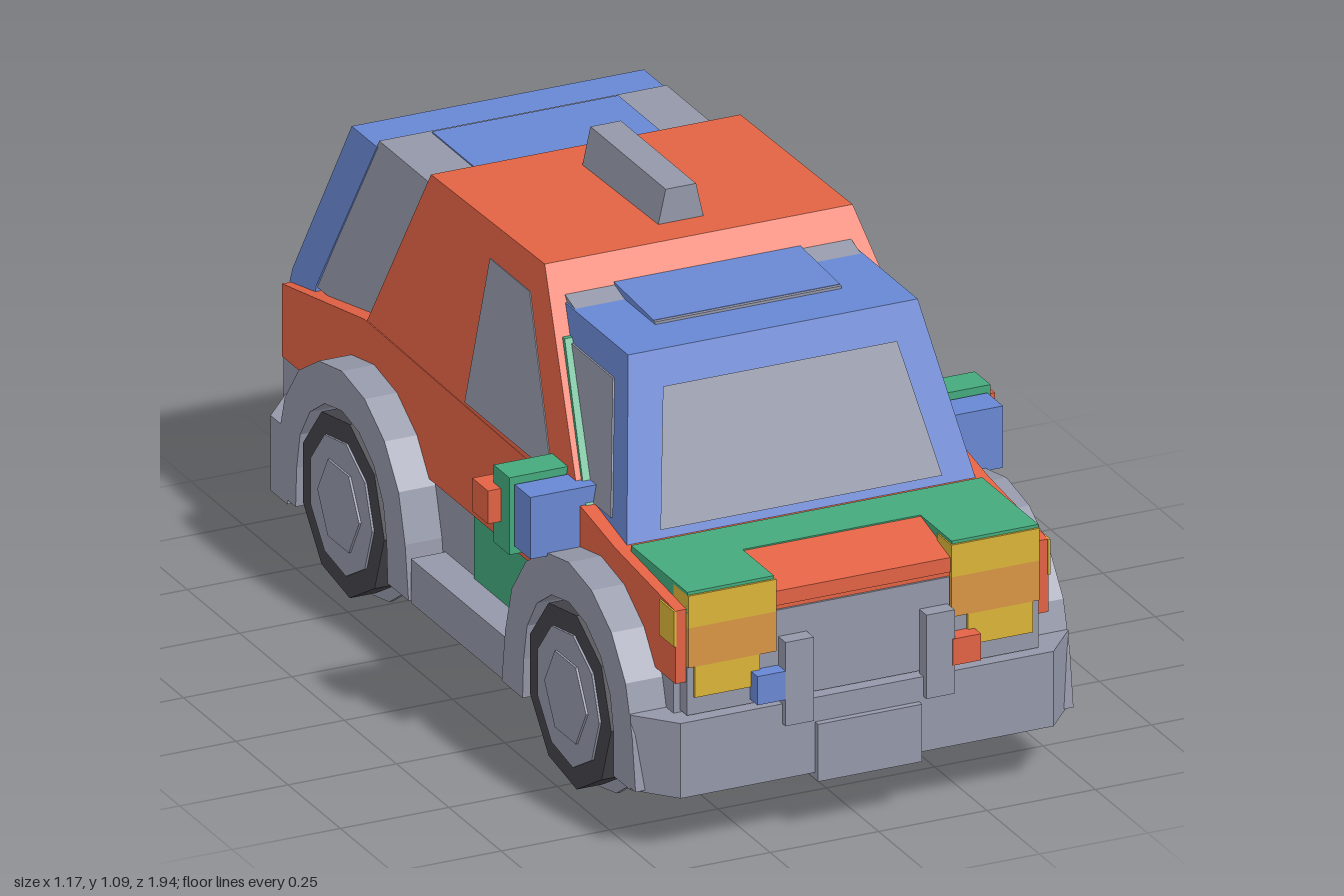
import * as THREE from 'three';

const mat = (name, color) => {
  const m = new THREE.MeshStandardMaterial({ color });
  m.name = name;
  return m;
};

export function createModel() {
  const car = new THREE.Group();
  car.name = 'car';
  const red = mat('red paint', 0xe26244), blue = mat('blue panel', 0x6887d2);
  const green = mat('green panel', 0x44a97c), yellow = mat('yellow lamp', 0xdab439);
  const orange = mat('orange lamp', 0xd89544), grey = mat('grey trim', 0x9497a8);
  const dark = mat('dark rubber', 0x444349), pale = mat('pale grey', 0xb8b7b1);

  const add = (name, geo, material) => {
    const m = new THREE.Mesh(geo, material);
    m.name = name;
    car.add(m);
    return m;
  };
  // Box given by its limits on each axis
  const box = (name, material, x0, x1, y0, y1, z0, z1) => {
    const g = new THREE.BoxGeometry(x1 - x0, y1 - y0, z1 - z0);
    g.translate((x0 + x1) / 2, (y0 + y1) / 2, (z0 + z1) / 2);
    return add(name, g, material);
  };
  const pair = (name, material, x0, x1, ...rest) => {
    box(name + 'Left', material, x0, x1, ...rest);
    box(name + 'Right', material, -x1, -x0, ...rest);
  };
  // Shape in the (z, y) plane, extruded along x
  const extrudeX = (points, depth) => {
    const shape = new THREE.Shape(points.map(p => new THREE.Vector2(...p)));
    const g = new THREE.ExtrudeGeometry(shape, { depth, bevelEnabled: false });
    g.translate(0, 0, -depth / 2);
    return g.rotateY(-Math.PI / 2);
  };
  // Side profile across the car, with a half width that depends on height
  const prism = (name, material, points, halfWidth) => {
    const g = extrudeX(points, 2), p = g.attributes.position;
    for (let i = 0; i < p.count; i++) p.setX(i, p.getX(i) * halfWidth(p.getY(i)));
    g.computeVertexNormals();
    return add(name, g, material);
  };
  const quad = (name, material, a, b, c, d) => {
    const g = new THREE.BufferGeometry();
    g.setAttribute('position', new THREE.Float32BufferAttribute([a, b, c, a, c, d].flat(), 3));
    g.computeVertexNormals();
    return add(name, g, material);
  };
  const slope = (y0, w0, y1, w1) => y => w0 + (w1 - w0) * (y - y0) / (y1 - y0);

  // Body and cabin
  prism('lowerBody', red, [[0.92, 0.385], [0.92, 0.55], [0.63, 0.58], [0.46, 0.61], [-0.565, 0.625],
    [-0.96, 0.55], [-0.96, 0.385]], () => 0.43);
  const cabinWidth = slope(0.61, 0.43, 1.015, 0.355);
  prism('cabin', red, [[0.46, 0.61], [0.14, 1.015], [-0.4, 1.005], [-0.565, 0.61]], cabinWidth);
  prism('sideWindows', grey, [[0.325, 0.625], [0.1, 0.94], [-0.09, 0.94], [-0.09, 0.625]],
    y => cabinWidth(y) + 0.002);
  prism('roofScoop', grey, [[0.055, 1.0], [0.055, 1.09], [-0.305, 1.09], [-0.305, 1.0]],
    slope(1.0, 0.055, 1.09, 0.035));

  // Windscreen block
  const blockWidth = slope(0.59, 0.4, 0.95, 0.333);
  prism('windscreenFrame', blue, [[0.63, 0.58], [0.495, 0.945], [0.19, 0.945], [0.2, 0.58]], blockWidth);
  prism('windscreenSideGlass', grey, [[0.55, 0.61], [0.455, 0.88], [0.23, 0.88], [0.4, 0.61]],
    y => blockWidth(y) + 0.004);
  prism('pillarSeal', green, [[0.475, 0.6], [0.25, 0.89], [0.2, 0.89], [0.42, 0.6]],
    slope(0.6, 0.42, 0.89, 0.362));
  prism('windscreenHeader', grey, [[0.25, 0.94], [0.18, 0.96], [0.15, 0.94]], () => 0.33);
  prism('frontRoofPlate', blue, [[0.37, 0.94], [0.37, 0.952], [0.18, 0.964], [0.16, 0.94]], () => 0.215);
  box('roofPlateEdge', grey, -0.215, 0.215, 0.944, 0.951, 0.37, 0.378);
  quad('windscreen', grey, [-0.325, 0.6, 0.631], [0.325, 0.6, 0.631], [0.27, 0.875, 0.529], [-0.27, 0.875, 0.529]);

  // Rear cabin block
  prism('rearSideGlass', grey, [[-0.4, 0.58], [-0.4, 0.958], [-0.7, 0.958], [-0.85, 0.58]], blockWidth);
  prism('tailgate', blue, [[-0.85, 0.55], [-0.85, 0.585], [-0.7, 0.945], [-0.82, 0.945], [-0.962, 0.58],
    [-0.965, 0.55]], y => blockWidth(y) + 0.003);
  box('rearRoofPlate', blue, -0.215, 0.215, 0.955, 0.961, -0.69, -0.43);
  quad('rearWindow', grey, [0.31, 0.64, -0.946], [-0.31, 0.64, -0.946], [-0.245, 0.88, -0.852], [0.245, 0.88, -0.852]);

  // Bonnet panels
  pair('bonnetSide', green, 0.205, 0.405, 0.54, 0.59, 0.655, 0.925);
  box('bonnetRear', green, -0.205, 0.205, 0.55, 0.59, 0.655, 0.775);
  prism('bonnetCentre', red, [[0.777, 0.52], [0.777, 0.588], [0.924, 0.553], [0.924, 0.52]], () => 0.205);
  box('grille', grey, -0.2, 0.2, 0.31, 0.51, 0.88, 0.925);
  box('lowerGrille', grey, -0.405, 0.405, 0.31, 0.42, 0.88, 0.924);

  // Lamps
  pair('headlight', yellow, 0.202, 0.405, 0.51, 0.583, 0.86, 0.93);
  pair('indicator', orange, 0.202, 0.405, 0.42, 0.51, 0.86, 0.93);
  pair('lowerLamp', yellow, 0.24, 0.39, 0.35, 0.42, 0.86, 0.93);
  pair('sideLamp', yellow, 0.428, 0.434, 0.47, 0.55, 0.85, 0.922);
  box('rearPanel', grey, -0.36, 0.36, 0.38, 0.47, -0.964, -0.95);
  pair('tailLamp', orange, 0.36, 0.42, 0.385, 0.455, -0.965, -0.95);
  box('centreLamp', orange, -0.1, 0.1, 0.435, 0.46, -0.966, -0.95);

  // Chassis and bumpers
  box('chassis', grey, -0.42, 0.42, 0.14, 0.39, -0.9, 0.89);
  box('rearSkirt', grey, -0.428, 0.428, 0.29, 0.386, -0.957, -0.8);
  pair('sill', grey, 0.4, 0.5, 0.14, 0.24, -0.2, 0.28);
  box('sillPanelRight', green, -0.426, -0.415, 0.24, 0.385, -0.05, 0.28);
  box('sillTrimLeft', green, 0.42, 0.432, 0.381, 0.39, -0.05, 0.28);
  pair('floorTrim', green, 0.395, 0.415, 0.133, 0.142, -0.25, 0.35);
  for (const z of [0.52, -0.5]) pair('axleMount', dark, 0.12, 0.3, 0.131, 0.142, z - 0.1, z + 0.1);
  for (const s of [1, -1]) {
    const end = s > 0 ? 'front' : 'rear';
    const shape = new THREE.Shape([[-0.43, 0.945], [0.43, 0.945], [0.505, 0.86], [0.505, 0.78],
      [-0.505, 0.78], [-0.505, 0.86]].map(([x, z]) => new THREE.Vector2(x, -s * z)));
    const g = new THREE.ExtrudeGeometry(shape, { depth: 0.17, bevelEnabled: false });
    add(end + 'Bumper', g.rotateX(-Math.PI / 2).translate(0, 0.135, 0), grey);
    box(end + 'Plate', grey, -0.12, 0.12, 0.12, 0.25, ...(s > 0 ? [0.9, 0.96] : [-0.96, -0.9]));
  }
  pair('barPost', grey, 0.13, 0.195, 0.26, 0.45, 0.925, 0.96);
  box('towHookRight', blue, -0.26, -0.195, 0.32, 0.385, 0.92, 0.96);
  box('towHookLeft', red, 0.19, 0.255, 0.325, 0.385, 0.92, 0.962);

  // Door mirrors
  pair('mirrorFront', blue, 0.39, 0.545, 0.51, 0.65, 0.39, 0.465);
  pair('mirrorMiddle', green, 0.41, 0.555, 0.49, 0.665, 0.31, 0.385);
  pair('mirrorRear', red, 0.41, 0.585, 0.55, 0.625, 0.27, 0.345);

  // Wheels and arches; the rim shows on both faces of the tyre
  const arc = (r, steps, a0, a1) => Array.from({ length: steps + 1 }, (_, i) => {
    const a = a0 + (a1 - a0) * i / steps;
    return [r * Math.cos(a), r * Math.sin(a)];
  });
  const archShape = [[0.32, -0.09], ...arc(0.305, 8, 0.1, Math.PI - 0.1), [-0.32, -0.09], [-0.22, -0.09],
    ...arc(0.215, 8, Math.PI, 0), [0.22, -0.09]];
  const discs = [['Well', 0.216, 0.01, 0.43, 16, grey], ['Tyre', 0.2, 0.06, 0.473, 9, dark],
    ['Rim', 0.152, 0.07, 0.473, 9, grey], ['Hub', 0.1, 0.08, 0.473, 6, grey]];
  for (const [end, z, y] of [['front', 0.565, 0.23], ['rear', -0.52, 0.235]]) {
    for (const s of [1, -1]) {
      const side = s > 0 ? 'Left' : 'Right';
      const arch = extrudeX(archShape, 0.1).translate(s * 0.455, y, z);
      add(end + 'Arch' + side, arch, grey);
      for (const [name, r, width, x, sides, m] of discs) {
        const g = new THREE.CylinderGeometry(r, r, width, sides).toNonIndexed();
        g.rotateZ(Math.PI / 2).translate(s * x, y, z).computeVertexNormals();
        add(end + name + side, g, m);
      }
    }
  }

  // Spare wheel ring on the tailgate
  const ring = new THREE.Shape(arc(0.185, 6, 0.5, 0.5 + Math.PI * 2).slice(0, 6).map(p => new THREE.Vector2(...p)));
  ring.holes.push(new THREE.Path(arc(0.12, 8, 0, Math.PI * 2).slice(0, 8).map(p => new THREE.Vector2(...p))));
  const spare = new THREE.ExtrudeGeometry(ring, { depth: 0.006, bevelEnabled: false });
  add('spareWheel', spare.translate(0, 0.49, -0.974), dark);

  // Support block under the floor
  box('standBase', grey, -0.22, 0.22, 0, 0.025, -0.22, 0.22);
  box('standBody', pale, -0.228, 0.228, 0.025, 0.11, -0.23, 0.23);
  box('standTop', grey, -0.2, 0.2, 0.11, 0.145, -0.22, 0.22);
  box('standTrim', green, -0.2, 0.2, 0.11, 0.135, -0.23, -0.222);
  return car;
}
